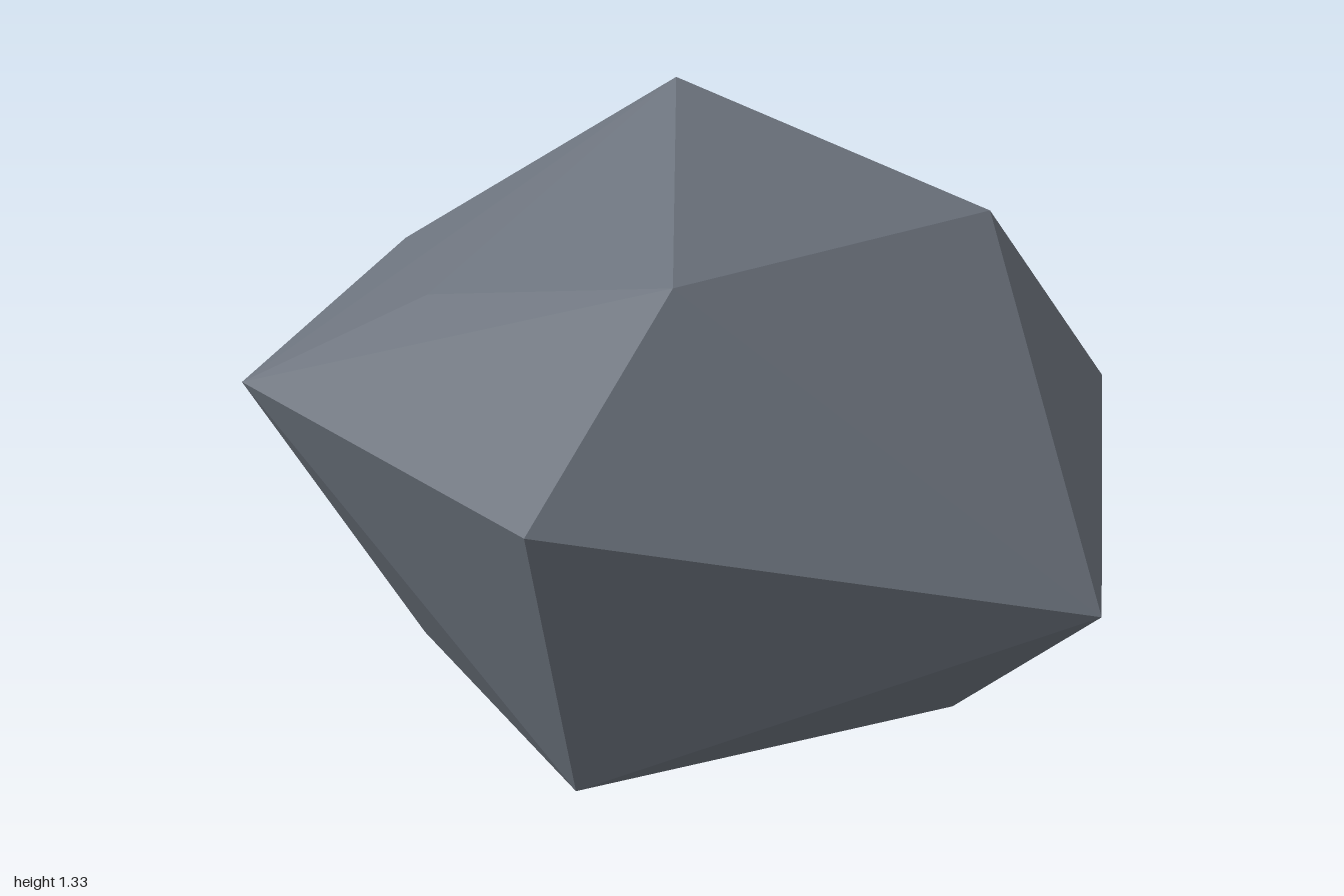
import * as THREE from 'three';
import { ConvexGeometry } from 'three/addons/geometries/ConvexGeometry.js';

// Corners of the boulder, listed ring by ring as [x, y, z]
const crown = [[-0.22, 1.33, -0.09], [0.36, 1.13, 0.44], [0.39, 1.09, -0.45]];
const shoulder = [[-0.28, 0.97, 0.56], [-0.77, 0.9, 0.27], [-0.6, 0.94, -0.34]];
const girth = [
  [0.4, 0.75, 0.85], [1, 0.46, -0.13], [0.42, 0.6, -0.85], [-0.3, 0.63, -0.62],
  [-0.69, 0.38, -0.47], [-1, 0.31, 0.11], [-0.64, 0.73, 0.81],
];
const foot = [
  [0.22, 0, 0.6], [0.53, 0, -0.24], [-0.16, 0, -0.51], [-0.35, 0, -0.19], [-0.55, 0, 0.43],
];

export function createModel() {
  const group = new THREE.Group();
  group.name = 'rock';

  const slate = new THREE.MeshStandardMaterial({ color: 0x6b727c });
  slate.name = 'slateGrey';
  slate.flatShading = true;

  // Faceted boulder: the hull of its corners, with a flat underside
  const corners = [...crown, ...shoulder, ...girth, ...foot].map((p) => new THREE.Vector3(...p));
  const boulder = new THREE.Mesh(new ConvexGeometry(corners), slate);
  boulder.name = 'boulder';
  group.add(boulder);

  return group;
}
